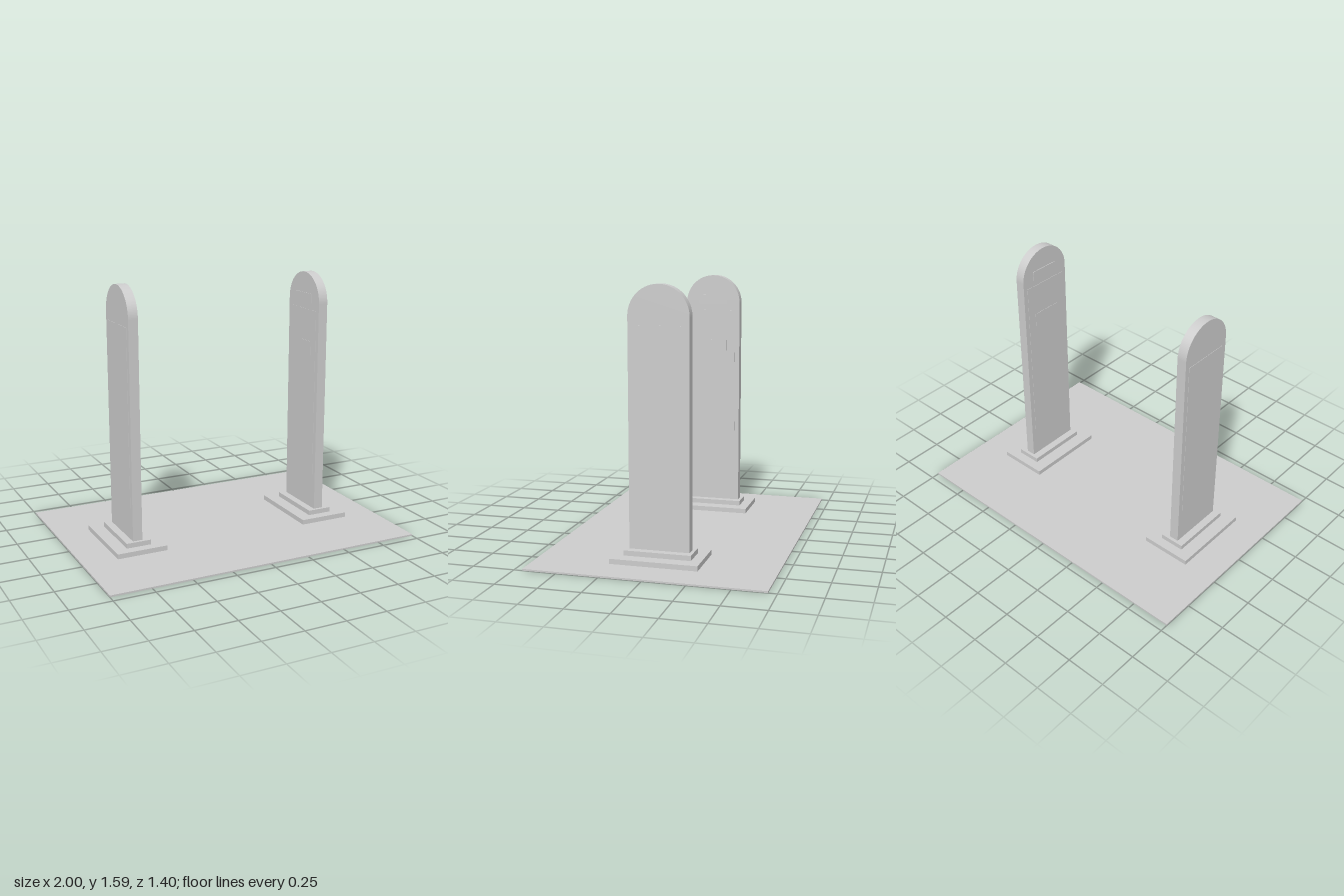
import * as THREE from 'three';

export function createModel() {
  const model = new THREE.Group();
  model.name = 'pairedPillars';
  const grey = new THREE.MeshStandardMaterial({ color: 0xcccccc });
  grey.name = 'light grey';

  // Box given by its limits on each axis
  function box(parent, name, x0, x1, y0, y1, z) {
    const mesh = new THREE.Mesh(new THREE.BoxGeometry(x1 - x0, y1 - y0, z * 2), grey);
    mesh.position.set((x0 + x1) / 2, (y0 + y1) / 2, 0);
    mesh.name = name;
    parent.add(mesh);
  }

  box(model, 'groundPlate', -1, 1, 0, 0.01, 0.7);

  // Upright slab with a half-round top
  const half = 0.18, thick = 0.06, springY = 1.41;
  const outline = new THREE.Shape();
  outline.moveTo(-half, 0.07);
  outline.lineTo(half, 0.07);
  outline.lineTo(half, springY);
  outline.absarc(0, springY, half, 0, Math.PI, false);
  outline.closePath();
  const slabGeometry = new THREE.ExtrudeGeometry(outline, {
    depth: thick, bevelEnabled: false, curveSegments: 32,
  });
  slabGeometry.translate(0, 0, -thick / 2);
  slabGeometry.rotateY(Math.PI / 2);

  // One pillar, built with its inner face towards -x
  function pillar(name) {
    const group = new THREE.Group();
    group.name = name;
    box(group, 'lowerPlinth', -0.158, 0.158, 0.01, 0.04, 0.26);
    box(group, 'upperPlinth', -0.077, 0.077, 0.04, 0.07, 0.2);
    const slab = new THREE.Mesh(slabGeometry, grey);
    slab.name = 'slab';
    group.add(slab);
    // Thin raised panels on both faces
    box(group, 'outerPanel', 0.029, 0.032, 0.27, 1.36, 0.15);
    box(group, 'innerPanel', -0.032, -0.029, 0.27, 1.36, 0.15);
    // Small plates on the inner face only
    box(group, 'upperSign', -0.034, -0.029, 1.4, 1.46, 0.095);
    box(group, 'lowerSign', -0.034, -0.031, 1.07, 1.16, 0.095);
    return group;
  }

  const left = pillar('leftPillar');
  left.position.x = 0.629;
  const right = pillar('rightPillar');
  right.position.x = -0.629;
  right.rotation.y = Math.PI;
  model.add(left, right);
  return model;
}
